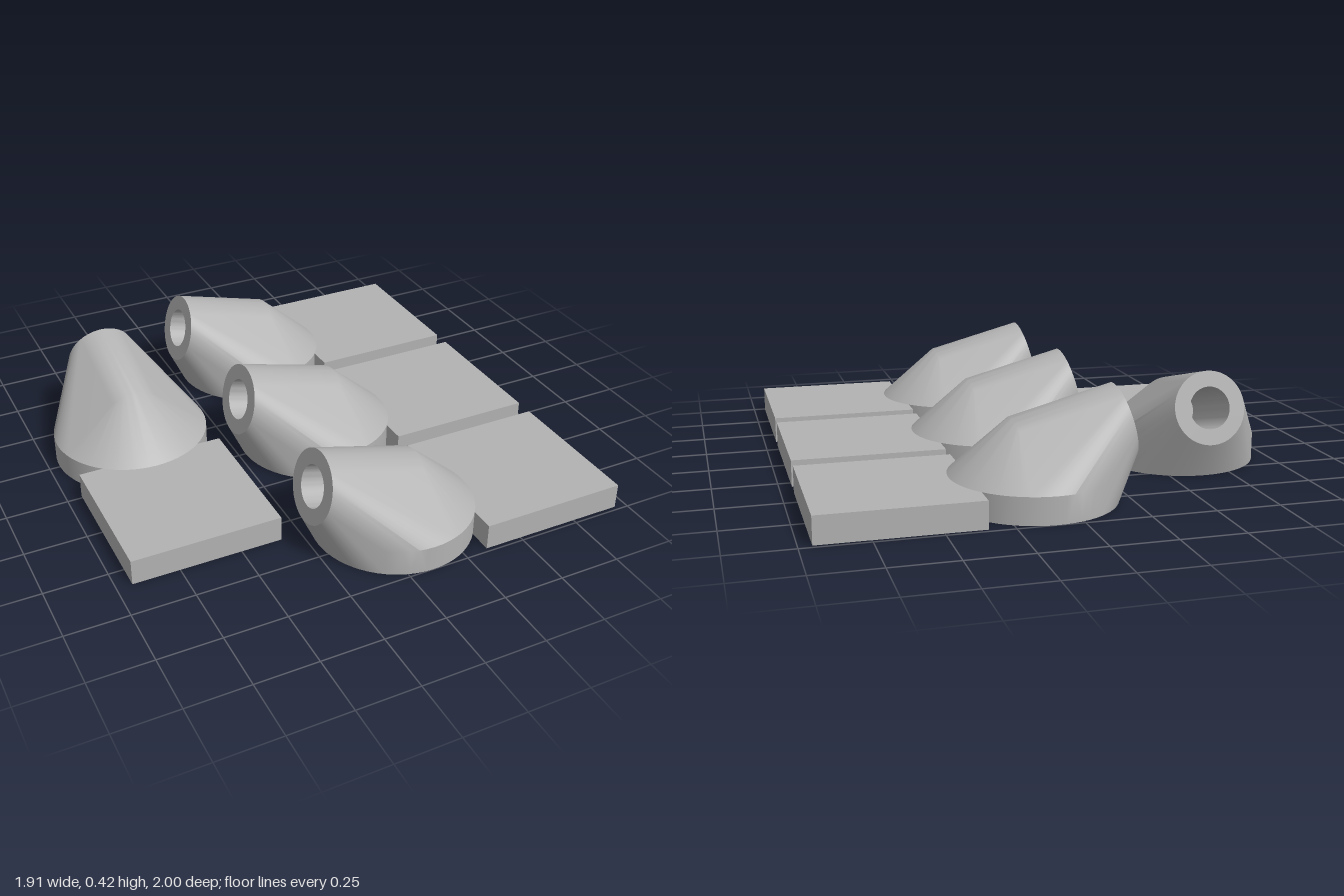
import * as THREE from 'three';
import { toCreasedNormals } from 'three/addons/utils/BufferGeometryUtils.js';
import { ConvexGeometry } from 'three/addons/geometries/ConvexGeometry.js';

const SEGMENTS = 64;
const BASE_RADIUS = 0.32, BASE_HEIGHT = 0.105;
const PORT_RADIUS = 0.145, PORT_LENGTH = 0.41;
const PORT_TILT = THREE.MathUtils.degToRad(75);
const PORT_CENTER = new THREE.Vector3(-0.3475, 0.28, 0);

// Ring of points matching the vertex layout of a lathe
function ring(radius, y) {
  return Array.from({ length: SEGMENTS }, (_, i) => {
    const a = (i / SEGMENTS) * Math.PI * 2;
    return new THREE.Vector3(radius * Math.sin(a), y, radius * Math.cos(a));
  });
}

function lathe(profile) {
  const points = profile.map(([r, y]) => new THREE.Vector2(r, y));
  return toCreasedNormals(new THREE.LatheGeometry(points, SEGMENTS), 0.5);
}

// Outer skin: hull of a base disc and a tilted tube, left open at the port and underneath
function createShell() {
  const portMatrix = new THREE.Matrix4().makeRotationZ(PORT_TILT).setPosition(PORT_CENTER);
  const tube = [...ring(PORT_RADIUS, 0), ...ring(PORT_RADIUS, -PORT_LENGTH)]
    .map((p) => p.applyMatrix4(portMatrix));
  const hull = new ConvexGeometry([...ring(BASE_RADIUS, 0), ...ring(BASE_RADIUS, BASE_HEIGHT), ...tube]);

  const openings = [
    new THREE.Vector3(0, -1, 0),
    new THREE.Vector3(-Math.sin(PORT_TILT), Math.cos(PORT_TILT), 0),
  ];
  const source = hull.getAttribute('position');
  const kept = [];
  const tri = new THREE.Triangle();
  const normal = new THREE.Vector3();
  for (let i = 0; i < source.count; i += 3) {
    tri.setFromAttributeAndIndices(source, i, i + 1, i + 2);
    tri.getNormal(normal);
    if (openings.some((d) => d.dot(normal) > 0.999)) continue;
    for (const p of [tri.a, tri.b, tri.c]) kept.push(p.x, p.y, p.z);
  }
  const shell = new THREE.BufferGeometry();
  shell.setAttribute('position', new THREE.Float32BufferAttribute(kept, 3));
  return toCreasedNormals(shell, 0.5);
}

export function createModel() {
  const model = new THREE.Group();
  model.name = 'angledSockets';
  const grey = new THREE.MeshStandardMaterial({ name: 'grey', color: 0xb2b2b2 });

  const shellGeometry = createShell();
  // Port face and blind bore
  const boreGeometry = lathe([[PORT_RADIUS, 0], [0.083, 0], [0.083, -0.36], [0, -0.36]]);
  // Rim and shallow recess under the base
  const recessGeometry = lathe([[0, 0.06], [0.27, 0.06], [0.27, 0], [BASE_RADIUS, 0]]);
  const plateGeometry = new THREE.BoxGeometry(0.605, BASE_HEIGHT, 0.605);

  function addUnit(name, x, z, turn) {
    const unit = new THREE.Group();
    unit.name = name;
    const part = (partName, geometry) => {
      const mesh = new THREE.Mesh(geometry, grey);
      mesh.name = partName;
      unit.add(mesh);
      return mesh;
    };
    part('socketShell', shellGeometry);
    part('baseRecess', recessGeometry);
    const bore = part('portBore', boreGeometry);
    bore.position.copy(PORT_CENTER);
    bore.rotation.z = PORT_TILT;
    part('squarePlate', plateGeometry).position.set(0.5485, BASE_HEIGHT / 2, 0);
    unit.position.set(x, 0, z);
    unit.rotation.y = turn;
    model.add(unit);
  }

  // Row of three facing sideways, and one turned toward the back
  [-0.68, 0, 0.68].forEach((z, i) => addUnit(`rowUnit${i + 1}`, 0.1, z, 0));
  addUnit('turnedUnit', -0.636, -0.258, -Math.PI / 2);
  return model;
}
